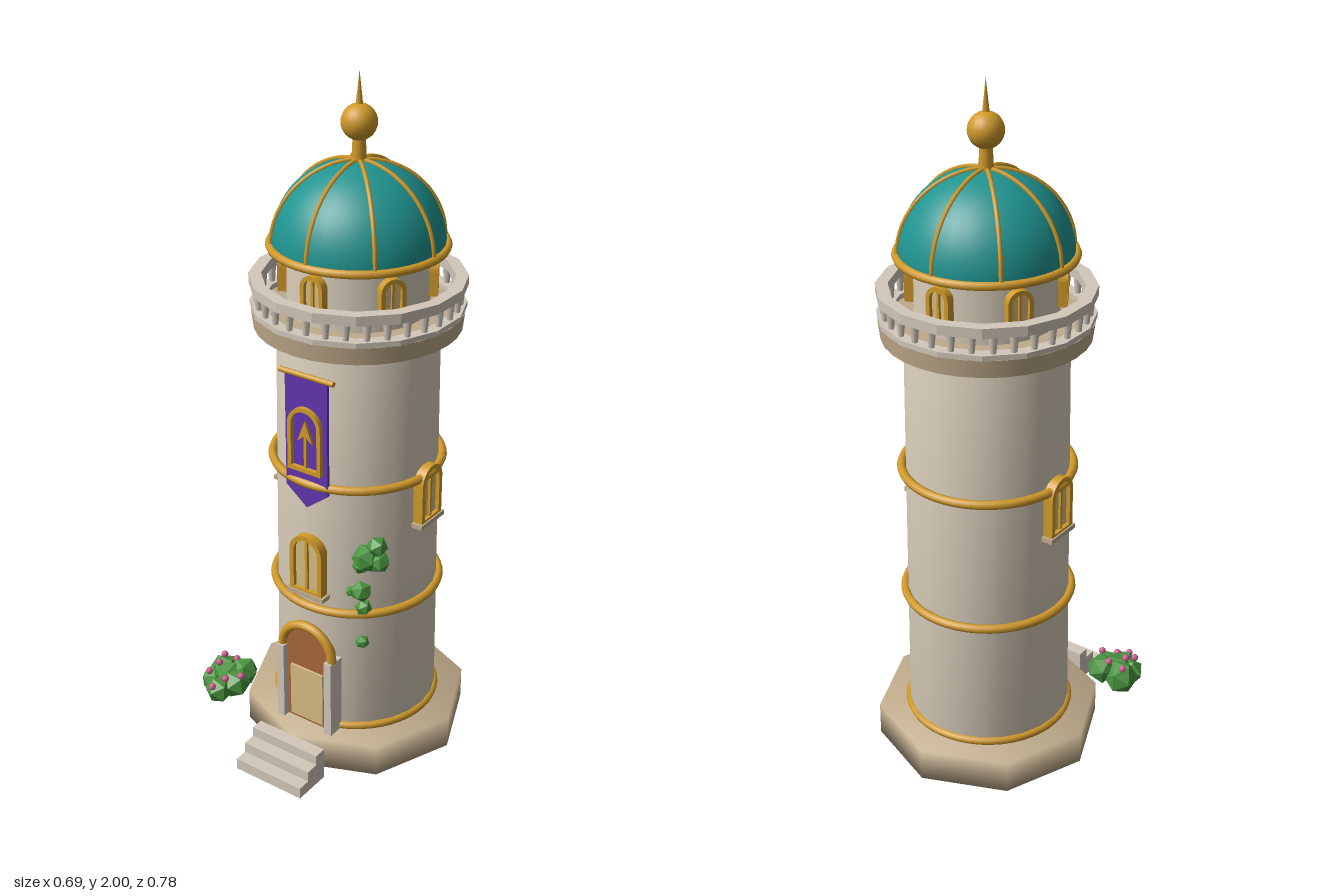
import * as THREE from 'three';
import { mergeVertices } from 'three/addons/utils/BufferGeometryUtils.js';

const mat = (name, color, extra = {}) =>
  Object.assign(new THREE.MeshStandardMaterial({ color, ...extra }), { name });

export function createModel() {
  const stone = mat('pale stone', 0xd9cebb);
  const trim = mat('trim stone', 0xd2c8ba);
  const tan = mat('tan stone', 0xc0ab8b);
  const gold = mat('gold', 0xd09a2a);
  const teal = mat('teal', 0x1f9490);
  const purple = mat('purple cloth', 0x6035ae);
  const wood = mat('wood', 0xa8683a);
  const pane = mat('warm pane', 0xd8bd84);
  const leaf = mat('leaf green', 0x4a9440, { flatShading: true });
  const pink = mat('blossom pink', 0xcc5a8c);

  const model = new THREE.Group();
  model.name = 'tower';
  const tower = new THREE.Group(); // everything centred on the tower axis
  tower.name = 'towerBody';
  tower.position.set(0.015, 0, -0.06);
  model.add(tower);

  const add = (parent, name, geo, material, x = 0, y = 0, z = 0) => {
    const m = new THREE.Mesh(geo, material);
    m.name = name;
    m.position.set(x, y, z);
    parent.add(m);
    return m;
  };
  const box = (w, h, d) => new THREE.BoxGeometry(w, h, d);
  const cyl = (rt, rb, h, n = 32) => new THREE.CylinderGeometry(rt, rb, h, n);
  const ring = (name, r, tube, y) => {
    add(tower, name, new THREE.TorusGeometry(r, tube, 8, 48), gold, 0, y).rotation.x = Math.PI / 2;
  };
  // shares corner normals so that edges shade softly
  const soften = (geo) => {
    geo.deleteAttribute('normal');
    geo.deleteAttribute('uv');
    const g = mergeVertices(geo);
    g.computeVertexNormals();
    return g;
  };
  // group on the wall, facing outward at angle a from the front
  const onWall = (name, a, y) => {
    const g = new THREE.Group();
    g.name = name;
    g.rotation.y = a;
    g.position.y = y;
    tower.add(g);
    return g;
  };
  // round-headed outline: half width w, straight part from y0 to h
  const arch = (w, h, y0 = 0, Type = THREE.Shape) => {
    const s = new Type();
    s.moveTo(-w, y0);
    s.lineTo(w, y0);
    s.lineTo(w, h);
    s.absarc(0, h, w, 0, Math.PI, false);
    s.lineTo(-w, y0);
    return s;
  };
  const extrude = (shape, depth) =>
    new THREE.ExtrudeGeometry(shape, { depth, bevelEnabled: false, curveSegments: 10 });
  const archedWindow = (name, a, y, r, w, h, t, sill) => {
    const g = onWall(name, a, y);
    const frame = arch(w, h);
    frame.holes.push(arch(w - t, h, t, THREE.Path));
    add(g, 'windowFrame', extrude(frame, 0.034), gold, 0, 0, r - 0.016);
    add(g, 'windowPane', extrude(arch(w - t, h, t), 0.008), pane, 0, 0, r - 0.002);
    add(g, 'mullion', box(t * 0.6, h + w - t, 0.008), gold, 0, (h + w) / 2, r + 0.01);
    if (sill) add(g, 'windowSill', box(w * 2 + 0.016, 0.014, 0.045), tan, 0, 0, r);
    return g;
  };

  // base, shaft and bands
  add(tower, 'base', soften(cyl(0.333, 0.333, 0.1, 8)), tan, 0, 0.05);
  add(tower, 'shaft', soften(cyl(0.227, 0.239, 1.22, 24)), stone, 0, 0.7);
  ring('lowerBand', 0.238, 0.012, 0.11);
  ring('middleBand', 0.242, 0.013, 0.505);
  ring('upperBand', 0.242, 0.013, 0.905);

  // balcony with railing
  add(tower, 'balconySlab', cyl(0.294, 0.288, 0.05), tan, 0, 1.33);
  const sides = 16;
  const segment = 2 * 0.293 * Math.tan(Math.PI / sides);
  for (let i = 0; i < sides; i++) {
    const g = onWall('railing', (i / sides) * Math.PI * 2, 0);
    add(g, 'topRail', box(segment, 0.028, 0.034), trim, 0, 1.431, 0.276);
    add(g, 'bottomRail', box(segment, 0.015, 0.034), trim, 0, 1.362, 0.274);
    for (const x of [-0.027, 0.027]) {
      add(g, 'baluster', cyl(0.013, 0.008, 0.05, 8), trim, x, 1.394, 0.276);
    }
  }

  // drum with six windows
  add(tower, 'drum', cyl(0.195, 0.197, 0.19), stone, 0, 1.445);
  for (let i = 0; i < 6; i++) {
    archedWindow('drumWindow', (i * Math.PI) / 3, 1.4, 0.199, 0.036, 0.07, 0.012, false);
  }

  // dome, ribs and finial
  const domeY = 1.535;
  const dome = add(tower, 'dome',
    new THREE.SphereGeometry(0.236, 32, 14, 0, Math.PI * 2, 0, Math.PI / 2), teal, 0, domeY);
  dome.scale.y = 0.97;
  add(tower, 'domeFloor', cyl(0.236, 0.236, 0.01), tan, 0, domeY - 0.005);
  ring('domeRing', 0.239, 0.012, domeY);
  const ribPath = new THREE.CatmullRomCurve3(Array.from({ length: 9 }, (_, i) => {
    const t = (i / 8) * Math.PI / 2;
    return new THREE.Vector3(0, Math.sin(t) * 0.231, Math.cos(t) * 0.238);
  }));
  const ribGeo = new THREE.TubeGeometry(ribPath, 16, 0.006, 6);
  for (let i = 0; i < 8; i++) {
    add(tower, 'domeRib', ribGeo, gold, 0, domeY).rotation.y = (i * Math.PI) / 4;
  }
  add(tower, 'finialNeck', cyl(0.017, 0.021, 0.08, 12), gold, 0, 1.79);
  add(tower, 'finialBall', new THREE.SphereGeometry(0.049, 20, 14), gold, 0, 1.865);
  add(tower, 'finialSpike', new THREE.ConeGeometry(0.011, 0.1, 8), gold, 0, 1.95);

  // wall windows
  archedWindow('frontWindow', 0, 0.55, 0.238, 0.055, 0.135, 0.014, true);
  for (const s of [-1, 1]) {
    archedWindow('sideWindow', s * Math.PI / 2, 0.76, 0.237, 0.05, 0.125, 0.014, true);
  }

  // banner with arched emblem
  const banner = onWall('banner', 0, 0);
  const cloth = new THREE.Shape();
  [[-0.07, 1.225], [-0.07, 0.885], [0, 0.83], [0.07, 0.885], [0.07, 1.225]]
    .forEach(([x, y], i) => (i ? cloth.lineTo(x, y) : cloth.moveTo(x, y)));
  add(banner, 'bannerCloth', extrude(cloth, 0.009), purple, 0, 0, 0.235);
  add(banner, 'bannerRod', cyl(0.008, 0.008, 0.18, 8), gold, 0, 1.23, 0.241).rotation.z = Math.PI / 2;
  const emblem = arch(0.055, 0.14);
  emblem.holes.push(arch(0.043, 0.14, 0.012, THREE.Path));
  add(banner, 'emblemArch', extrude(emblem, 0.034), gold, 0, 0.945, 0.223);
  add(banner, 'emblemShaft', box(0.008, 0.13, 0.008), gold, 0, 1.02, 0.247);
  const head = new THREE.Shape();
  [[0, 1.1], [-0.025, 1.035], [0, 1.055], [0.025, 1.035]]
    .forEach(([x, y], i) => (i ? head.lineTo(x, y) : head.moveTo(x, y)));
  add(banner, 'emblemHead', extrude(head, 0.008), gold, 0, 0, 0.244);

  // door
  const door = onWall('door', 0, 0.1);
  add(door, 'doorLeaf', extrude(arch(0.08, 0.25), 0.04), wood, 0, 0, 0.21);
  add(door, 'doorPanel', box(0.115, 0.175, 0.008), pane, 0, 0.1, 0.253);
  for (const s of [-1, 1]) add(door, 'doorJamb', box(0.025, 0.25, 0.055), trim, s * 0.085, 0.125, 0.243);
  add(door, 'doorArch', new THREE.TorusGeometry(0.088, 0.014, 8, 20, Math.PI), gold, 0, 0.25, 0.252);

  // front steps
  [[0.035, 0.39], [0.068, 0.35], [0.1, 0.31]].forEach(([h, front], i) => {
    add(model, 'step', box(0.232, i ? 0.033 : 0.035, front - 0.272), trim,
      0.016, h - (i ? 0.0165 : 0.0175), (front + 0.272) / 2);
  });

  // leafy clumps: x, y, z, radius
  const clump = (name, blobs) => {
    const g = new THREE.Group();
    g.name = name;
    model.add(g);
    blobs.forEach(([x, y, z, r], i) => {
      add(g, 'leaves', new THREE.IcosahedronGeometry(r, 0), leaf, x, y, z).rotation.set(i, i * 0.7, 0);
    });
    return g;
  };
  clump('climbingVine', [
    [0.185, 0.705, 0.14, 0.042], [0.222, 0.7, 0.13, 0.032], [0.165, 0.672, 0.135, 0.027],
    [0.21, 0.742, 0.125, 0.032], [0.165, 0.585, 0.135, 0.032], [0.135, 0.578, 0.14, 0.018],
    [0.17, 0.53, 0.13, 0.025], [0.165, 0.41, 0.128, 0.021],
  ]);
  const bush = clump('bush', [
    [-0.3, 0.15, 0.19, 0.053], [-0.24, 0.165, 0.175, 0.046], [-0.235, 0.15, 0.22, 0.046],
    [-0.265, 0.14, 0.262, 0.044], [-0.305, 0.145, 0.235, 0.042], [-0.27, 0.155, 0.21, 0.05],
  ]);
  [[-0.315, 0.195, 0.172], [-0.265, 0.2, 0.175], [-0.21, 0.188, 0.225], [-0.308, 0.185, 0.255],
    [-0.247, 0.18, 0.254], [-0.267, 0.165, 0.292], [-0.297, 0.2, 0.22]].forEach(([x, y, z]) => {
    add(bush, 'blossom', new THREE.SphereGeometry(0.011, 8, 6), pink, x, y, z);
  });

  return model;
}
